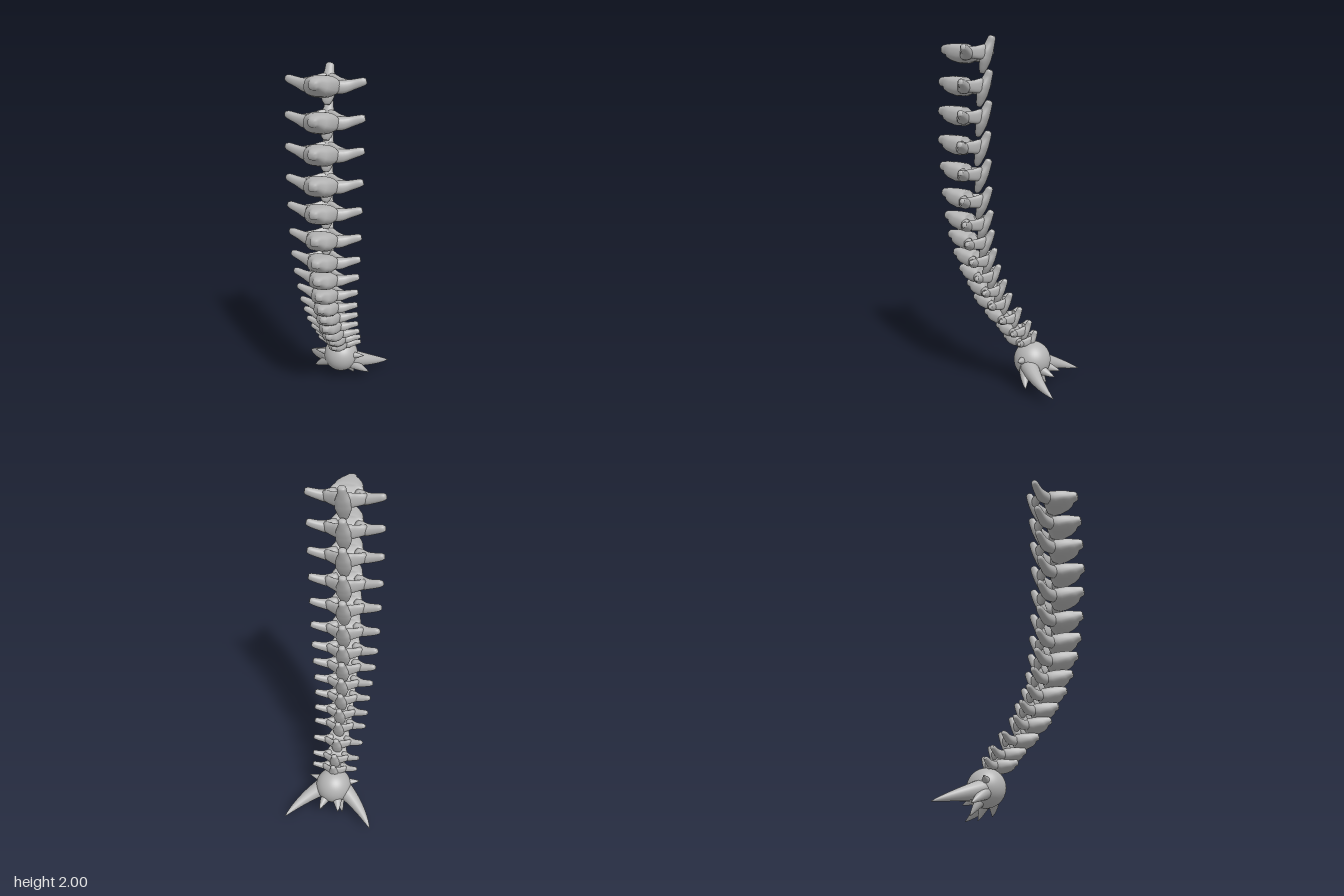
import * as THREE from 'three';

const bone = new THREE.MeshStandardMaterial({ color: 0xb4b4b4 });
bone.name = 'bone grey';

const Y = new THREE.Vector3(0, 1, 0);
const Z = new THREE.Vector3(0, 0, 1);

// Skin a solid over sections [x, y, z, halfWidth, halfHeight]; power < 1 makes it boxier.
function loft(sections, ref = Y, power = 1, sides = 20) {
  const centers = sections.map(s => new THREE.Vector3(s[0], s[1], s[2]));
  const pos = [], idx = [];
  const bulge = v => Math.sign(v) * Math.abs(v) ** power;
  const last = sections.length - 1;
  sections.forEach((s, i) => {
    const dir = centers[Math.min(i + 1, last)].clone().sub(centers[Math.max(i - 1, 0)]).normalize();
    const u = ref.clone().cross(dir).normalize();
    const v = dir.clone().cross(u);
    for (let j = 0; j < sides; j++) {
      const a = j / sides * Math.PI * 2;
      const p = centers[i].clone()
        .addScaledVector(u, bulge(Math.cos(a)) * s[3])
        .addScaledVector(v, bulge(Math.sin(a)) * s[4]);
      pos.push(p.x, p.y, p.z);
    }
  });
  const start = pos.length / 3, end = start + 1;
  pos.push(...centers[0].toArray(), ...centers[last].toArray());
  for (let j = 0; j < sides; j++) {
    const k = (j + 1) % sides;
    for (let i = 0; i < last; i++) {
      const a = i * sides + j, b = i * sides + k;
      idx.push(a, b, b + sides, a, b + sides, a + sides);
    }
    idx.push(start, k, j, end, last * sides + j, last * sides + k);
  }
  const g = new THREE.BufferGeometry();
  g.setAttribute('position', new THREE.Float32BufferAttribute(pos, 3));
  g.setIndex(idx);
  g.computeVertexNormals();
  return g;
}

// Round the path by resampling sections along a smooth curve.
function smooth(sections, n = 14) {
  const path = new THREE.CatmullRomCurve3(
    sections.map(s => new THREE.Vector3(s[0], s[1], s[2])), false, 'centripetal');
  return Array.from({ length: n + 1 }, (_, i) => {
    const t = i / n, f = t * (sections.length - 1);
    const k = Math.min(Math.floor(f), sections.length - 2);
    const p = path.getPoint(t);
    const mix = m => THREE.MathUtils.lerp(sections[k][m], sections[k + 1][m], f - k);
    return [p.x, p.y, p.z, mix(3), mix(4)];
  });
}

const mirror = (sections, side) => sections.map(([x, ...r]) => [x * side, ...r]);

function add(group, name, geometry) {
  const m = new THREE.Mesh(geometry, bone);
  m.name = name;
  group.add(m);
}

// Vertebra parts, with the back ridge near z = 0 and the front nub at z = NOSE.
const NOSE = 0.325;
const bodyGeo = loft([
  [0, -0.012, 0.138, 0.075, 0.03], [0, -0.02, 0.145, 0.09, 0.045],
  [0, -0.025, 0.165, 0.094, 0.054], [0, -0.024, 0.2, 0.085, 0.056],
  [0, -0.016, 0.245, 0.074, 0.05], [0, -0.008, 0.272, 0.058, 0.042],
  [0, 0, 0.292, 0.036, 0.031], [0, 0, 0.316, 0.028, 0.025], [0, 0, NOSE, 0.02, 0.017],
], Y, 0.75, 28);

const wing = smooth([
  [0.06, -0.03, 0.16, 0.03, 0.036], [0.1, -0.032, 0.13, 0.036, 0.035],
  [0.145, -0.022, 0.115, 0.026, 0.027], [0.2, -0.006, 0.106, 0.02, 0.021],
  [0.215, -0.002, 0.103, 0.013, 0.014],
]);
const arch = smooth([
  [0.11, -0.025, 0.115, 0.02, 0.03], [0.065, -0.025, 0.085, 0.018, 0.036],
  [0.03, -0.02, 0.062, 0.02, 0.042], [0, -0.015, 0.05, 0.02, 0.04],
], 8);
const wingGeo = [1, -1].map(s => loft(mirror(wing, s), Y, 0.85));
const archGeo = [1, -1].map(s => loft(mirror(arch, s), Y, 0.85));

const ridgeGeo = loft(smooth([
  [0, -0.135, 0.083, 0.014, 0.01], [0, -0.118, 0.077, 0.027, 0.018],
  [0, -0.065, 0.062, 0.046, 0.028], [0, -0.015, 0.048, 0.042, 0.031],
  [0, 0.028, 0.032, 0.026, 0.026], [0, 0.062, 0.02, 0.022, 0.02],
  [0, 0.07, 0.017, 0.014, 0.012],
], 18), Z, 0.85);

function makeVertebra() {
  const g = new THREE.Group();
  add(g, 'vertebraBody', bodyGeo);
  add(g, 'backRidge', ridgeGeo);
  ['left', 'right'].forEach((side, i) => {
    add(g, side + 'Wing', wingGeo[i]);
    add(g, side + 'Arch', archGeo[i]);
  });
  return g;
}

// Tapered, slightly bowed spike from inside the ball to its tip.
function spikeGeometry(base, tip, radius, bow, side) {
  const a = new THREE.Vector3(...base), b = new THREE.Vector3(...tip);
  const mid = a.clone().lerp(b, 0.5).add(new THREE.Vector3(...bow));
  const curve = new THREE.QuadraticBezierCurve3(a, mid, b);
  const sections = Array.from({ length: 13 }, (_, i) => {
    const p = curve.getPoint(i / 12), r = Math.max(radius * (1 - i / 12) ** 0.75, 0.002);
    return [p.x, p.y, p.z, r, r];
  });
  return loft(mirror(sections, side), Y, 1, 16);
}

export function createModel() {
  const model = new THREE.Group();
  model.name = 'spinalTail';

  // Vertebrae from top to bottom: nub height, nub z, scale
  const chain = [
    [1.93, 0.366, 1], [1.75, 0.382, 1], [1.585, 0.387, 1], [1.42, 0.39, 0.99],
    [1.267, 0.382, 0.97], [1.113, 0.371, 0.95], [0.98, 0.355, 0.92], [0.869, 0.334, 0.88],
    [0.763, 0.302, 0.83], [0.668, 0.265, 0.79], [0.583, 0.217, 0.76], [0.503, 0.175, 0.73],
    [0.419, 0.106, 0.7], [0.345, 0.034, 0.66], [0.286, -0.011, 0.63],
  ];
  chain.forEach(([y, z, s], i) => {
    const tilt = 0.1 * Math.sin(Math.PI * i / (chain.length - 1));
    const v = makeVertebra();
    v.name = 'vertebra' + (i + 1);
    v.scale.setScalar(s);
    v.rotation.x = -tilt;
    v.position.set(0, y - Math.sin(tilt) * NOSE * s, z - Math.cos(tilt) * NOSE * s);
    model.add(v);
  });

  // Club at the end of the tail
  const club = new THREE.Group();
  club.name = 'tailClub';
  const ball = new THREE.SphereGeometry(0.106, 40, 28);
  ball.translate(0, 0.16, -0.185);
  add(club, 'clubBall', ball);

  // Spikes: name, base, tip, radius, bow
  const spikes = [
    ['largeHorn', [0.06, 0.14, -0.185], [0.26, 0.045, -0.39], 0.055, [0.02, 0, 0.02]],
    ['middleHorn', [0.05, 0.13, -0.165], [0.175, 0.045, -0.205], 0.042, [0.01, 0, 0.008]],
    ['lowerHorn', [0.03, 0.1, -0.195], [0.066, 0.003, -0.25], 0.034, [0.006, 0, 0]],
    ['backSpike', [0.03, 0.12, -0.24], [0.055, 0.09, -0.335], 0.034, [0.005, 0, 0]],
    ['sideSpike', [0.075, 0.175, -0.16], [0.155, 0.187, -0.15], 0.025, [0, 0, 0]],
  ];
  for (const [name, base, tip, r, bow] of spikes) {
    add(club, name + 'Left', spikeGeometry(base, tip, r, bow, 1));
    add(club, name + 'Right', spikeGeometry(base, tip, r, bow, -1));
  }
  model.add(club);
  return model;
}
